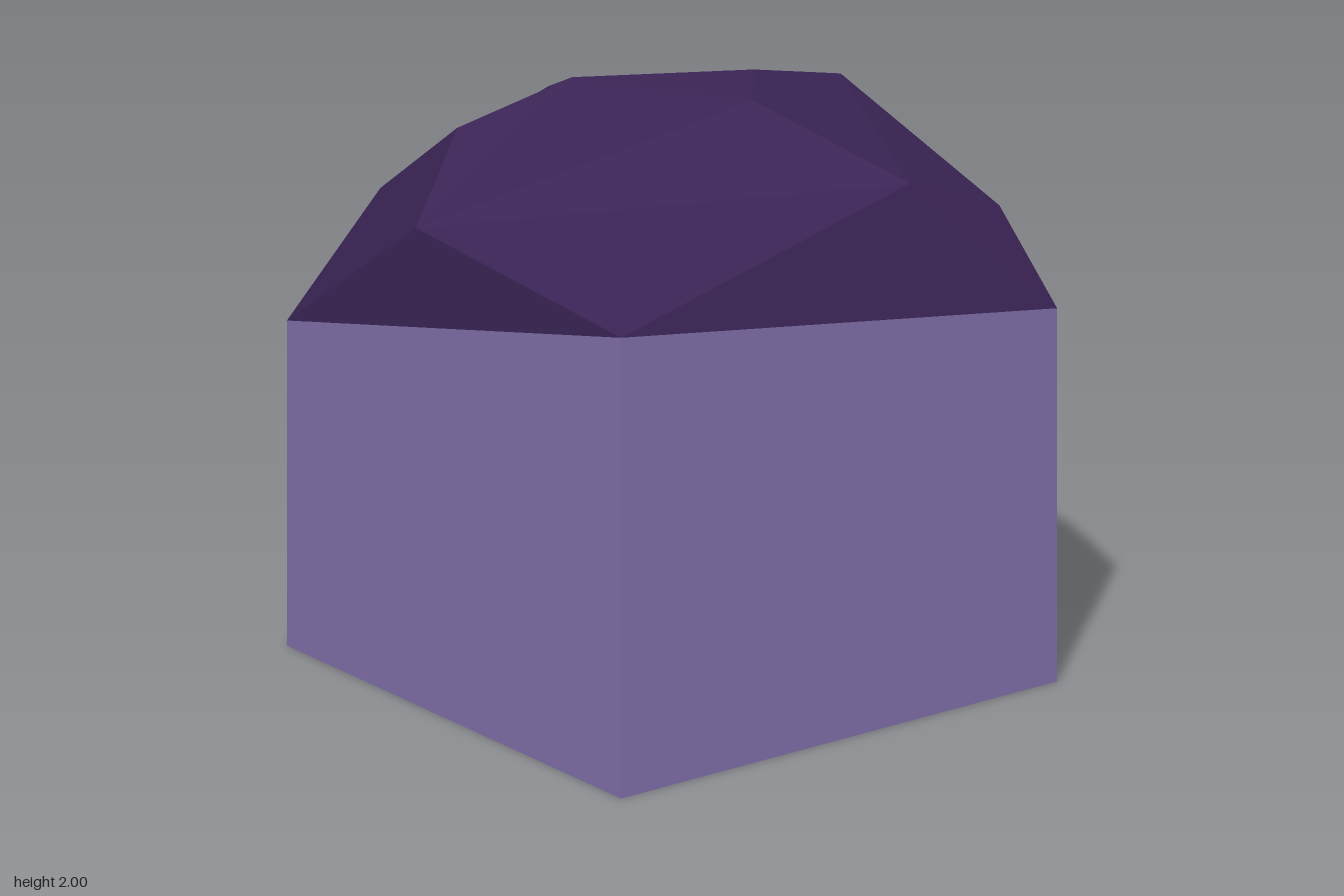
import * as THREE from 'three';

const R = 0.91; // half width of the square base

export function createModel() {
  const model = new THREE.Group();
  const wallMat = new THREE.MeshStandardMaterial({ color: 0x8070ab, side: THREE.DoubleSide });
  const roofMat = new THREE.MeshStandardMaterial({ color: 0x3a2455, side: THREE.DoubleSide, flatShading: true });
  wallMat.name = 'palePurple';
  roofMat.name = 'darkPurple';

  // Flat upright panel on one side of the base; points are (along side, height)
  function panel(name, points, angle, material) {
    const shape = new THREE.Shape(points.map(([u, y]) => new THREE.Vector2(u, y)));
    const mesh = new THREE.Mesh(new THREE.ShapeGeometry(shape), material);
    mesh.geometry.translate(0, 0, R).rotateY(angle);
    mesh.name = name;
    model.add(mesh);
  }

  // Four walls, open underneath, with sloping tops
  const wall = (name, angle, ...top) => panel(name, [[-R, 0], [R, 0], ...top], angle, wallMat);
  wall('frontWall', 0, [R, 1.63], [-R, 1.15]);
  wall('leftWall', Math.PI / 2, [R, 1.32], [-R, 1.63]);
  wall('backWall', Math.PI, [R, 1.54], [-R, 1.32]);
  const notch = [[0.33, 1.584], [0.22, 1.52], [-0.18, 1.55], [-0.51, 1.644]];
  wall('rightWall', -Math.PI / 2, [R, 1.15], [0.52, 1.53], ...notch, [-R, 1.54]);

  // Dark facet of the cap that lies flush with the right wall
  panel('capSideFacet', [...notch, [-0.18, 1.73]].reverse(), -Math.PI / 2, roofMat);

  // Faceted rocky cap: corner points, then triangles by letter
  const p = {
    A: [-R, 1.15, R], B: [R, 1.63, R], C: [R, 1.32, -R], D: [-R, 1.54, -R],
    E: [-R, 1.73, -0.18], F: [-R, 1.53, 0.52], G: [-0.22, 1.68, 0.9],
    H: [0.76, 1.83, -0.41], I: [0.18, 2, -0.2], J: [-0.05, 2, -0.38],
    K: [-0.57, 1.9, -0.02], L: [-0.57, 1.83, 0.46],
    M: [0.7, 1.64, -0.83], N: [-0.1, 1.88, -0.78],
  };
  const faces = 'ABG AGL ALF FLK FKE EKD DKJ DJN NJI NIH NHM MHC MCD DNM BCH GBH GHI GIK IJK GKL';
  const coords = faces.split(' ').flatMap((face) => [...face].flatMap((key) => p[key]));
  const capGeo = new THREE.BufferGeometry();
  capGeo.setAttribute('position', new THREE.Float32BufferAttribute(coords, 3));
  capGeo.computeVertexNormals();
  const cap = new THREE.Mesh(capGeo, roofMat);
  cap.name = 'rockyCap';
  model.add(cap);

  return model;
}
